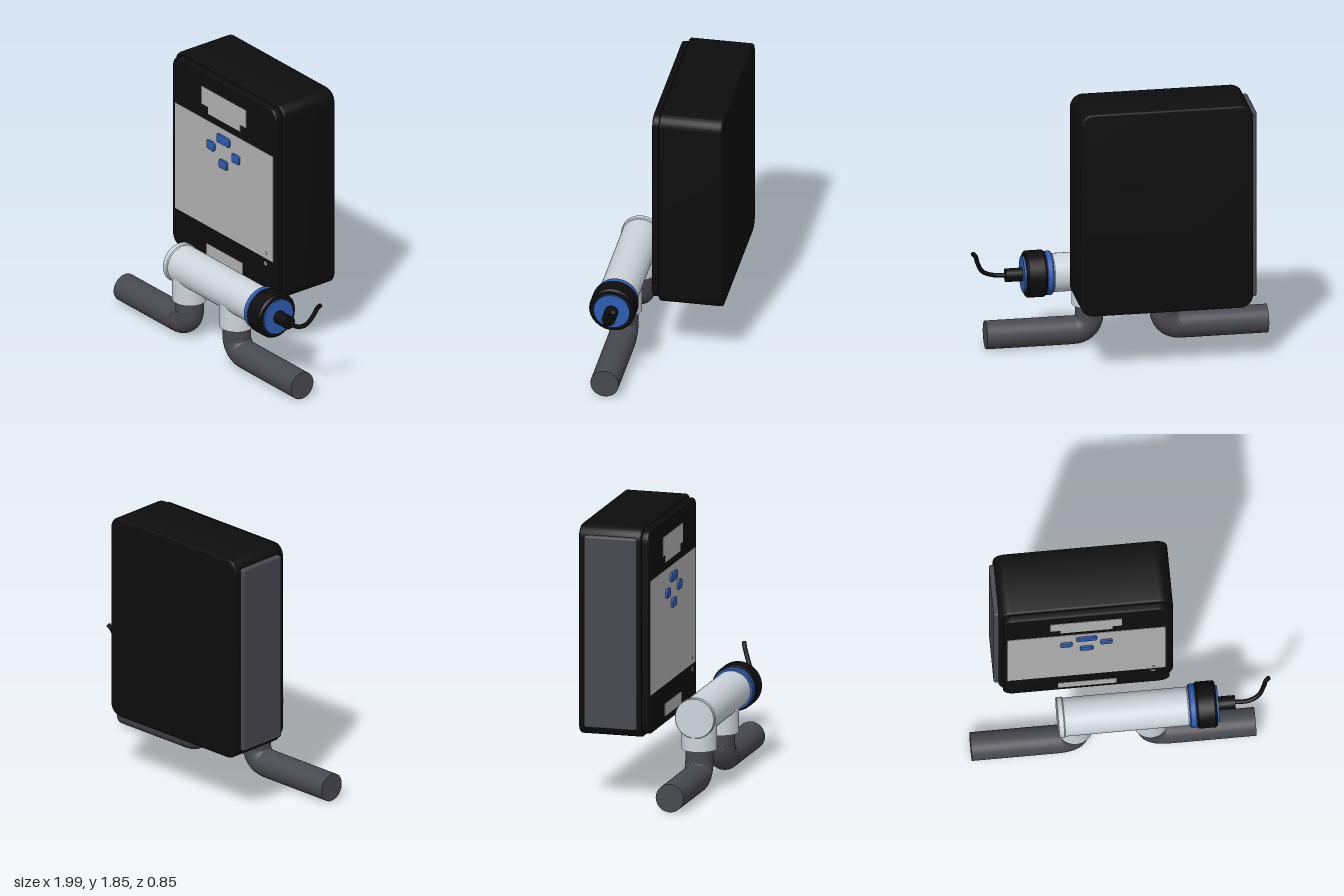
import * as THREE from 'three';
import { toCreasedNormals } from 'three/addons/utils/BufferGeometryUtils.js';
import { RoundedBoxGeometry } from 'three/addons/geometries/RoundedBoxGeometry.js';

const material = (name, color) => {
  const m = new THREE.MeshStandardMaterial({ color });
  m.name = name;
  return m;
};

export function createModel() {
  const black = material('black plastic', 0x0d0d0d);
  const labelGrey = material('label grey', 0xb3b3b3);
  const blue = material('blue', 0x2c5db5);
  const white = material('pale plastic', 0xccd4db);
  const pipeGrey = material('dark grey', 0x484850);
  const model = new THREE.Group();
  model.name = 'controllerWithFlowCell';
  const TY = 0.505, TZ = 0.265; // chamber axis

  const add = (parent, name, geometry, mat, x = 0, y = 0, z = 0) => {
    const mesh = new THREE.Mesh(geometry, mat);
    mesh.name = name;
    mesh.position.set(x, y, z);
    parent.add(mesh);
    return mesh;
  };

  // Rounded rectangle in x/y, extruded from z0 to z1 with bevelled rims
  const slab = (parent, name, mat, [x0, x1, y0, y1, z0, z1], radius, bevel) => {
    const w = (x1 - x0) / 2 - bevel, h = (y1 - y0) / 2 - bevel, r = radius - bevel;
    const s = new THREE.Shape();
    s.absarc(w - r, h - r, r, 0, Math.PI / 2);
    s.absarc(-w + r, h - r, r, Math.PI / 2, Math.PI);
    s.absarc(-w + r, -h + r, r, Math.PI, Math.PI * 1.5);
    s.absarc(w - r, -h + r, r, Math.PI * 1.5, Math.PI * 2);
    s.closePath();
    const geometry = new THREE.ExtrudeGeometry(s, {
      depth: z1 - z0 - 2 * bevel, bevelSize: bevel, bevelThickness: bevel,
      bevelSegments: 3, curveSegments: 8,
    });
    return add(parent, name, toCreasedNormals(geometry, 0.6), mat,
      (x0 + x1) / 2, (y0 + y1) / 2, z0 + bevel);
  };

  // Solid of revolution along the chamber axis; profile is [radius, x] pairs
  const turned = (parent, name, mat, profile) => {
    const points = profile.map(([r, x]) => new THREE.Vector2(r, x));
    const mesh = add(parent, name,
      toCreasedNormals(new THREE.LatheGeometry(points, 48), 0.6), mat, 0, TY, TZ);
    mesh.rotation.z = -Math.PI / 2;
    return mesh;
  };

  // Control box
  const box = new THREE.Group();
  box.name = 'controlBox';
  model.add(box);
  slab(box, 'housing', black, [-0.79, 0.365, 0.43, 1.85, -0.425, 0.005], 0.085, 0.015);
  slab(box, 'frontCover', black, [-0.765, 0.34, 0.45, 1.83, -0.01, 0.052], 0.075, 0.012);
  add(box, 'sidePanel', new RoundedBoxGeometry(0.06, 1.3, 0.36, 3, 0.015), pipeGrey,
    -0.79, 1.14, -0.2);

  // Labels on the cover
  const label = (name, x0, x1, y0, y1) => add(box, name,
    new THREE.BoxGeometry(x1 - x0, y1 - y0, 0.004), labelGrey,
    (x0 + x1) / 2, (y0 + y1) / 2, 0.0525);
  label('mainLabel', -0.735, 0.31, 0.715, 1.49);
  label('topLabel', -0.45, 0.022, 1.59, 1.72);
  label('topLabelStep', -0.385, -0.04, 1.54, 1.59);
  label('bottomLabel', -0.4, -0.015, 0.5, 0.585);

  // Keypad
  [
    [-0.28, -0.145, 1.38, 1.443],
    [-0.385, -0.305, 1.293, 1.357],
    [-0.12, -0.04, 1.293, 1.357],
    [-0.255, -0.168, 1.203, 1.265],
  ].forEach((b) => slab(box, 'keypadButton', blue, [...b, 0.045, 0.068], 0.016, 0.004));

  // Indicator marks
  const star = new THREE.Shape();
  for (let i = 0; i < 16; i++) {
    const a = (i * Math.PI) / 8, r = i % 2 ? 0.012 : 0.018;
    star[i ? 'lineTo' : 'moveTo'](r * Math.cos(a), r * Math.sin(a));
  }
  star.closePath();
  add(box, 'indicatorMark', new THREE.ExtrudeGeometry(star, { depth: 0.008, bevelEnabled: false }),
    labelGrey, 0.23, 0.677, 0.05);
  add(box, 'indicatorArc', new THREE.TorusGeometry(0.016, 0.003, 6, 16, Math.PI / 2),
    labelGrey, 0.225, 0.745, 0.055);

  // Flow chamber
  const chamber = new THREE.Group();
  chamber.name = 'flowChamber';
  model.add(chamber);
  turned(chamber, 'chamberTube', white,
    [[0, -0.4], [0.129, -0.4], [0.129, 0.436], [0.121, 0.445], [0, 0.445]]);
  turned(chamber, 'chamberCap', white,
    [[0, -0.427], [0.132, -0.427], [0.136, -0.422], [0.136, -0.39], [0.13, -0.383], [0, -0.383]]);
  turned(chamber, 'blueCollar', blue,
    [[0, 0.445], [0.14, 0.445], [0.146, 0.451], [0.146, 0.485], [0.14, 0.492], [0, 0.492]]);
  turned(chamber, 'lockingRing', black,
    [[0, 0.49], [0.147, 0.49], [0.156, 0.502], [0.156, 0.611], [0.144, 0.625], [0, 0.625]]);
  turned(chamber, 'blueEndPlate', blue,
    [[0, 0.61], [0.121, 0.61], [0.121, 0.639], [0, 0.639]]);
  turned(chamber, 'cablePlug', black,
    [[0, 0.63], [0.045, 0.63], [0.045, 0.752], [0, 0.752]]);

  // Cable with capped end
  const cable = new THREE.CatmullRomCurve3([
    [0.74, 0.505, 0.265], [0.84, 0.513, 0.268], [0.907, 0.548, 0.25],
    [0.945, 0.62, 0.217], [0.962, 0.675, 0.197], [0.983, 0.7, 0.187],
  ].map((p) => new THREE.Vector3(...p)));
  add(chamber, 'cable', new THREE.TubeGeometry(cable, 40, 0.015, 12), black);
  const tip = add(chamber, 'cableTip', new THREE.CircleGeometry(0.015, 12), black);
  tip.position.copy(cable.getPoint(1));
  tip.quaternion.setFromUnitVectors(new THREE.Vector3(0, 0, 1), cable.getTangent(1));

  // Tee sockets and bent pipes: d is the direction the pipe leaves in
  const R = 0.095;
  [[-0.31, -1, -1], [0.19, 0.885, 1]].forEach(([x, end, d]) => {
    const leg = new THREE.Group();
    leg.name = d < 0 ? 'rightPipe' : 'leftPipe';
    model.add(leg);
    add(leg, 'socket', new THREE.CylinderGeometry(0.117, 0.117, 0.21, 40), white, x, 0.382, TZ);
    add(leg, 'riser', new THREE.CylinderGeometry(0.093, 0.093, 0.15, 40), pipeGrey, x, 0.272, TZ);
    const bendR = 0.102;
    const bend = new THREE.TorusGeometry(bendR, 0.094, 32, 20, Math.PI / 2);
    const elbow = add(leg, 'elbow', bend, pipeGrey, x + d * bendR, R + bendR, TZ);
    elbow.rotation.z = d < 0 ? -Math.PI / 2 : Math.PI;
    const start = x + d * bendR;
    const run = add(leg, 'pipeRun',
      new THREE.CylinderGeometry(R, R, Math.abs(end - start), 40), pipeGrey,
      (start + end) / 2, R, TZ);
    run.rotation.z = Math.PI / 2;
  });

  return model;
}
